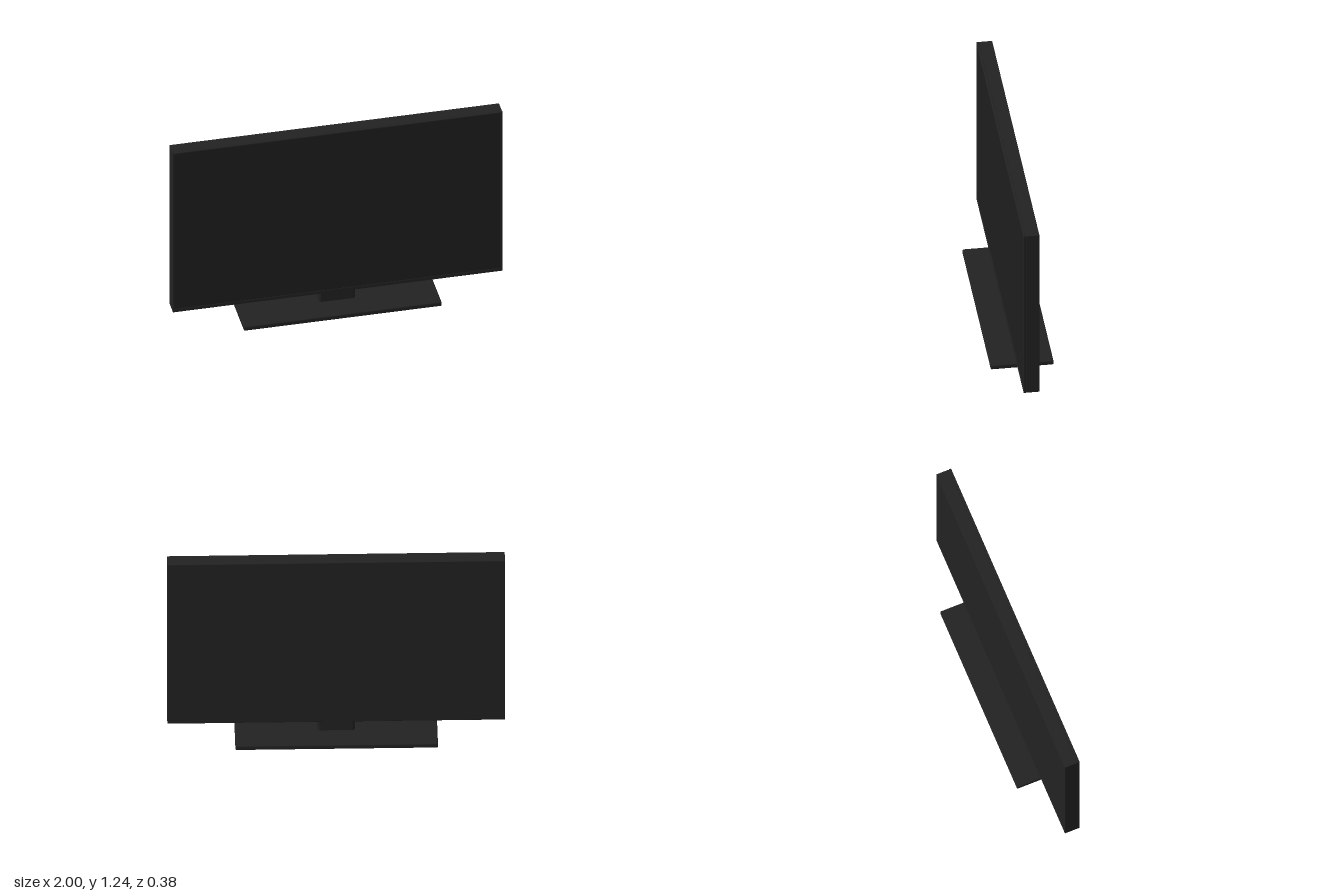
import * as THREE from 'three';
import { RoundedBoxGeometry } from 'three/addons/geometries/RoundedBoxGeometry.js';

const casing = new THREE.MeshStandardMaterial({ color: 0x222222 });
casing.name = 'charcoal casing';
const glass = new THREE.MeshStandardMaterial({ color: 0x1e1e1e });
glass.name = 'dark glass';

function add(parent, name, geometry, material, x, y, z) {
  const mesh = new THREE.Mesh(geometry, material);
  mesh.name = name;
  mesh.position.set(x, y, z);
  parent.add(mesh);
  return mesh;
}

// Rectangle outline, traced on a Shape or a Path
function rectangle(path, x0, y0, x1, y1) {
  path.moveTo(x0, y0);
  path.lineTo(x1, y0);
  path.lineTo(x1, y1);
  path.lineTo(x0, y1);
  path.closePath();
  return path;
}

// Rectangle with rounded corners, centred on the origin
function roundedRectangle(w, d, r) {
  const s = new THREE.Shape(), x = w / 2 - r, y = d / 2 - r;
  s.absarc(x, y, r, 0, Math.PI / 2);
  s.absarc(-x, y, r, Math.PI / 2, Math.PI);
  s.absarc(-x, -y, r, Math.PI, Math.PI * 1.5);
  s.absarc(x, -y, r, Math.PI * 1.5, Math.PI * 2);
  return s;
}

export function createModel() {
  const group = new THREE.Group();
  group.name = 'television';

  // Rear housing
  add(group, 'housing', new RoundedBoxGeometry(2, 1.14, 0.08, 2, 0.003), casing, 0, 0.67, -0.007);

  // Front bezel, slightly deeper along the bottom, with softened edges
  const bevel = 0.003;
  const outline = rectangle(new THREE.Shape(), -1 + bevel, 0.1 + bevel, 1 - bevel, 1.24 - bevel);
  outline.holes.push(rectangle(new THREE.Path(), -0.99, 0.12, 0.99, 1.23));
  const frame = new THREE.ExtrudeGeometry(outline, {
    depth: 0.009, bevelSize: bevel, bevelThickness: bevel, bevelSegments: 2,
  });
  add(group, 'bezel', frame, casing, 0, 0, 0.036);

  // Screen pane, set just behind the bezel face
  add(group, 'screen', new THREE.BoxGeometry(1.986, 1.116, 0.009), glass, 0, 0.675, 0.0415);

  // Neck with rounded corners
  const neck = new THREE.ExtrudeGeometry(roundedRectangle(0.225, 0.065, 0.018), {
    depth: 0.085, bevelEnabled: false, curveSegments: 6,
  });
  neck.rotateX(-Math.PI / 2);
  add(group, 'neck', neck, casing, 0, 0.025, 0);

  // Foot plate
  add(group, 'foot', new RoundedBoxGeometry(1.2, 0.03, 0.376, 3, 0.007), casing, 0, 0.015, 0);

  return group;
}
